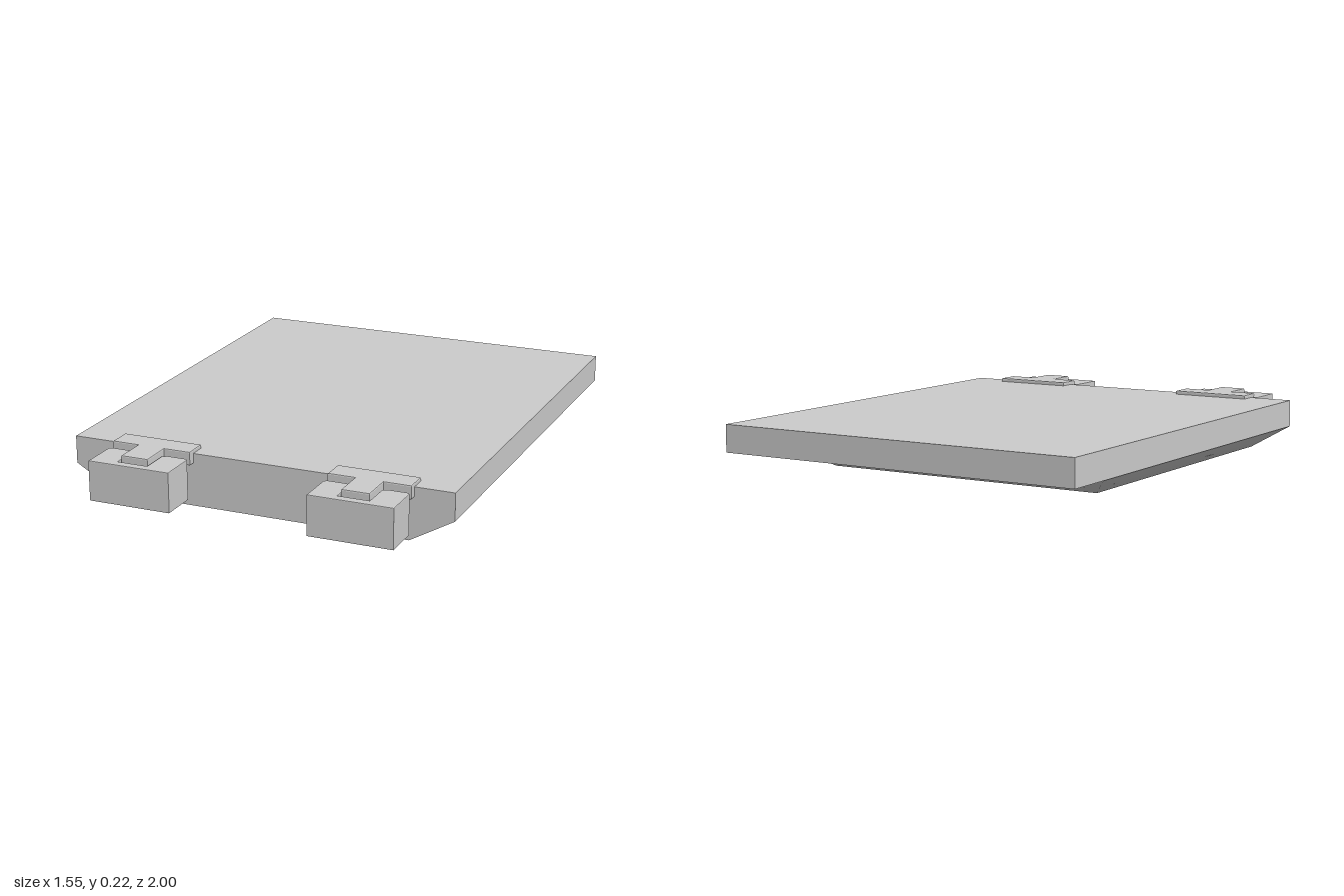
import * as THREE from 'three';

const grey = new THREE.MeshStandardMaterial({ color: 0xcccccc });

function add(parent, name, geometry, x = 0, y = 0, z = 0) {
  const mesh = new THREE.Mesh(geometry, grey);
  mesh.name = name;
  mesh.position.set(x, y, z);
  parent.add(mesh);
  return mesh;
}

// Extrudes a plan outline of [x, z] points upward from y0 to y1, with softened edges.
function planExtrude(points, y0, y1, bevel) {
  const shape = new THREE.Shape(points.map(([x, z]) => new THREE.Vector2(x, -z)));
  const geometry = new THREE.ExtrudeGeometry(shape, {
    depth: y1 - y0 - 2 * bevel, bevelEnabled: bevel > 0,
    bevelThickness: bevel, bevelSize: bevel, bevelOffset: -bevel, bevelSegments: 2,
  });
  geometry.rotateX(-Math.PI / 2);
  geometry.translate(0, y0 + bevel, 0);
  return geometry;
}

// Underside skin: flat bottom with chamfered sides, rising to the deck at the back.
function hullSkin() {
  const sections = [[0.79, 0], [-0.54, 0], [-0.8, 0.1]];
  const positions = [], index = [];
  for (const [z, y] of sections) {
    for (const [x, py] of [[-0.775, 0.1], [-0.6, y], [0.6, y], [0.775, 0.1]]) positions.push(x, py, z);
  }
  for (let i = 0; i < sections.length - 1; i++) {
    for (let j = 0; j < 3; j++) {
      const a = i * 4 + j, b = a + 4;
      index.push(a, b, a + 1, a + 1, b, b + 1);
    }
  }
  const geometry = new THREE.BufferGeometry();
  geometry.setAttribute('position', new THREE.Float32BufferAttribute(positions, 3));
  geometry.setIndex(index);
  geometry.computeVertexNormals();
  return geometry;
}

// Slotted socket block and the T-shaped tongue that hooks into it.
function makeCoupling(x) {
  const coupling = new THREE.Group();
  coupling.name = 'coupling';
  coupling.position.x = x;
  const c = 0.01;
  add(coupling, 'socketBlock', planExtrude([
    [-0.167, 1], [0.167, 1], [0.167, 0.84 + c], [0.167 - c, 0.84],
    [0.07 + c, 0.84], [0.062, 0.84 + c], [0.062, 0.965], [-0.062, 0.965],
    [-0.062, 0.84 + c], [-0.07 - c, 0.84], [-0.167 + c, 0.84], [-0.167, 0.84 + c],
  ], 0.045, 0.205, 0.003));
  add(coupling, 'tongue', planExtrude([
    [-0.163, 0.725], [0.163, 0.725], [0.163, 0.82], [0.055, 0.82],
    [0.055, 0.95], [-0.055, 0.95], [-0.055, 0.82], [-0.163, 0.82],
  ], 0.17, 0.225, 0.005));
  add(coupling, 'hook', new THREE.BoxGeometry(0.1, 0.12, 0.09), 0, 0.12, 0.9);
  return coupling;
}

export function createModel() {
  const model = new THREE.Group();
  model.name = 'floatingPlatform';

  // Deck slab
  add(model, 'deck', new THREE.BoxGeometry(1.55, 0.11, 1.79), 0, 0.155, -0.105);

  // Hull below the deck, with its flat front end
  add(model, 'hull', hullSkin());
  const end = new THREE.Shape([[-0.775, 0.1], [-0.6, 0], [0.6, 0], [0.775, 0.1]]
    .map(([x, y]) => new THREE.Vector2(x, y)));
  add(model, 'hullFront', new THREE.ShapeGeometry(end), 0, 0, 0.79);

  // Couplings along the front edge
  for (const x of [-0.432, 0.456]) model.add(makeCoupling(x));
  return model;
}
